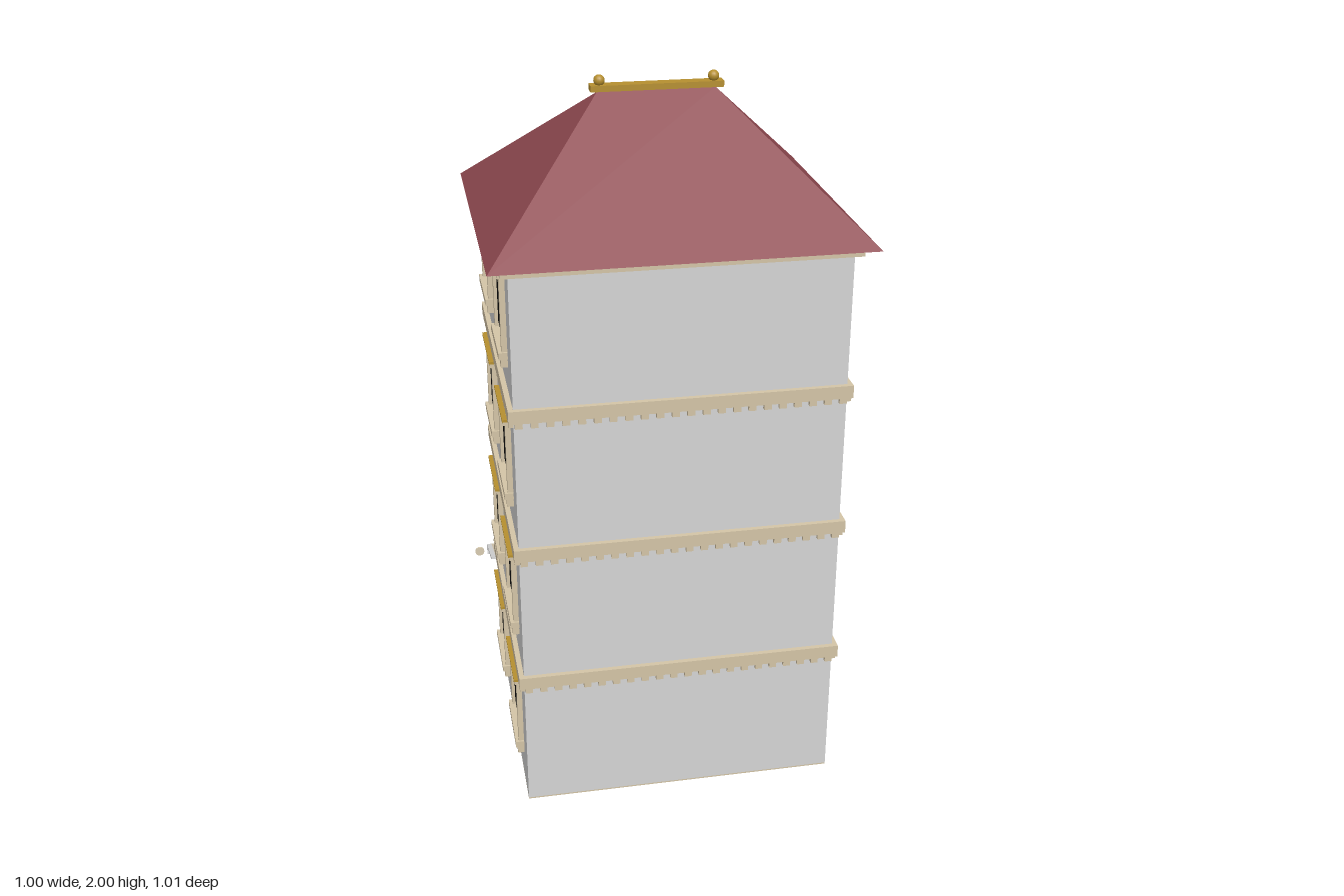
import * as THREE from 'three';
import { mergeGeometries } from 'three/addons/utils/BufferGeometryUtils.js';

const mat = (name, color, side = THREE.FrontSide) => {
  const m = new THREE.MeshStandardMaterial({ color, side });
  m.name = name;
  return m;
};

export function createModel() {
  const wall = mat('wall grey', 0xd4d4d4);
  const stone = mat('stone trim', 0xd3c4a6);
  const roofRed = mat('roof red', 0x8c474e);
  const gold = mat('gold', 0xb58f30);
  const glass = mat('dark glass', 0x0e0e0e);
  const shutterRed = mat('shutter red', 0x5c2230);
  const brown = mat('wood brown', 0x4a2d1c);
  const white = mat('awning white', 0xdcdcdc, THREE.DoubleSide);
  const cream = mat('awning cream', 0xd9ccb2, THREE.DoubleSide);

  const model = new THREE.Group();
  const CX = 0.003, CZ = 0.07, W = 0.885, D = 0.76, H = 1.62, PITCH = 0.408;

  // Box from min and max corners
  const block = (x0, x1, y0, y1, z0, z1) => {
    const g = new THREE.BoxGeometry(x1 - x0, y1 - y0, z1 - z0);
    return g.translate((x0 + x1) / 2, (y0 + y1) / 2, (z0 + z1) / 2);
  };
  const add = (parent, name, material, ...geos) => {
    const m = new THREE.Mesh(geos.length > 1 ? mergeGeometries(geos) : geos[0], material);
    m.name = name;
    parent.add(m);
    return m;
  };

  // Main body and ground slab
  add(model, 'walls', wall, block(CX - W / 2, CX + W / 2, 0.004, H, CZ - D / 2, CZ + D / 2));
  add(model, 'groundSlab', stone, block(CX - W / 2, CX + W / 2, 0, 0.004, CZ - D / 2, CZ + D / 2));

  // Floor bands with dentils on all four sides
  for (let f = 0; f < 3; f++) {
    const y = 0.39 + f * PITCH;
    const hx = W / 2 + 0.014, hz = D / 2 + 0.014;
    add(model, 'floorBand', stone,
      block(CX - hx, CX + hx, y, y + 0.036, CZ - hz, CZ + hz));
    const teeth = [];
    for (let i = 0; i < 22; i++) {
      const x = CX - 0.43 + (i * 0.86) / 21;
      for (const s of [-1, 1]) {
        const z = CZ + s * (D / 2 + 0.004);
        teeth.push(block(x - 0.01, x + 0.01, y - 0.015, y, z - 0.008, z + 0.008));
      }
    }
    for (let i = 0; i < 19; i++) {
      const z = CZ - 0.37 + (i * 0.74) / 18;
      for (const s of [-1, 1]) {
        const x = CX + s * (W / 2 + 0.004);
        teeth.push(block(x - 0.008, x + 0.008, y - 0.015, y, z - 0.01, z + 0.01));
      }
    }
    add(model, 'dentils', stone, ...teeth);
  }
  add(model, 'cornice', stone, block(CX - 0.463, CX + 0.463, 1.603, 1.627, CZ - 0.4, CZ + 0.4));

  // Hipped roof with a stone soffit
  const w = 0.497, d = 0.437, r = 0.158, e = 1.627, t = 1.955;
  const a = [-w, e, d], b = [w, e, d], c = [w, e, -d], k = [-w, e, -d], p = [-r, t, 0], q = [r, t, 0];
  const faces = [a, b, q, a, q, p, b, c, q, c, k, p, c, p, q, k, a, p, a, k, c, a, c, b];
  const roofGeo = new THREE.BufferGeometry();
  roofGeo.setAttribute('position', new THREE.Float32BufferAttribute(faces.flat(), 3));
  roofGeo.computeVertexNormals();
  roofGeo.addGroup(0, 18, 0);
  roofGeo.addGroup(18, 6, 1);
  add(model, 'roof', [roofRed, stone], roofGeo.translate(CX, 0, CZ));

  // Ridge beam and knobs
  add(model, 'ridgeBeam', gold, block(CX - 0.177, CX + 0.177, 1.958, 1.974, CZ - 0.018, CZ + 0.018));
  for (const s of [-1, 1])
    add(model, 'ridgeKnob', gold, new THREE.SphereGeometry(0.015, 16, 12).translate(CX + s * 0.152, 1.985, CZ));

  // Framed window facing +z, with its origin at floor level on the wall
  function windowUnit(o) {
    const g = new THREE.Group();
    g.name = 'window';
    const { hw, y0, y1 } = o;
    add(g, 'pane', glass, block(-hw, hw, y0, y1, 0, 0.006));
    const f = hw + 0.018;
    add(g, 'windowFrame', stone,
      block(-f, -hw, y0 - 0.015, y1 + 0.035, 0, 0.015),
      block(hw, f, y0 - 0.015, y1 + 0.035, 0, 0.015),
      block(-hw, hw, y1, y1 + 0.035, 0, 0.012),
      block(-f - 0.012, f + 0.012, y1 + 0.034, y1 + 0.045, 0, 0.02));
    add(g, 'goldLintel', gold, block(-f - 0.014, f + 0.014, y1 + 0.045, y1 + 0.052, 0, 0.023));
    const teeth = [];
    for (let i = 0; i < 8; i++) {
      const x = -hw + ((i + 0.5) * 2 * hw) / 8;
      teeth.push(block(x - 0.005, x + 0.005, y1 - 0.009, y1, 0.004, 0.009));
    }
    add(g, 'frameTeeth', stone, ...teeth);
    if (o.sill) add(g, 'sill', stone,
      block(-f - 0.006, f + 0.006, y0 - 0.034, y0 - 0.015, 0, 0.024),
      block(-f, -f + 0.02, y0 - 0.058, y0 - 0.034, 0, 0.018),
      block(f - 0.02, f, y0 - 0.058, y0 - 0.034, 0, 0.018));
    if (o.planter) add(g, 'planter', brown, block(-f, f, y0 - 0.06, y0 - 0.022, 0, 0.027));
    if (o.shutters) for (const s of [-1, 1]) {
      const x = s * (f + 0.016);
      add(g, 'shutter', shutterRed, block(x - 0.015, x + 0.015, y0 - 0.01, y1 + 0.02, 0, 0.012));
      const slats = [];
      for (let i = 0; i < 9; i++) {
        const y = y0 + 0.005 + (i * (y1 - y0)) / 9;
        slats.push(block(x - 0.011, x + 0.011, y, y + 0.01, 0.01, 0.016));
      }
      add(g, 'shutterSlats', shutterRed, ...slats);
    }
    return g;
  }

  // Side windows, two per floor on each side
  for (const s of [-1, 1])
    for (let f = 0; f < 4; f++)
      for (const z of [0.26, -0.125]) {
        const u = windowUnit({ hw: 0.081, y0: 0.155, y1: 0.31, sill: true });
        u.position.set(CX + (s * W) / 2, f * PITCH, z);
        u.rotation.y = (s * Math.PI) / 2;
        model.add(u);
      }

  // Street facade, built facing +z and turned round
  const facade = new THREE.Group();
  facade.name = 'streetFacade';
  facade.position.set(CX, 0, CZ - D / 2);
  facade.rotation.y = Math.PI;
  model.add(facade);
  for (let f = 1; f < 4; f++)
    for (const x of [-0.26, 0, 0.26]) {
      const door = f === 1 && x === 0;
      const u = windowUnit({ hw: 0.084, y0: door ? 0.03 : 0.112, y1: 0.315, sill: false, planter: !door, shutters: !door });
      u.position.set(x, f * PITCH, 0);
      facade.add(u);
    }

  // Ground floor shopfront; local +x is the model's right
  for (const s of [-1, 1])
    add(facade, 'cornerPier', stone, block(s * 0.388 - 0.056, s * 0.388 + 0.056, 0, 0.375, -0.035, 0.012));
  add(facade, 'pier', stone, block(-0.125, -0.1, 0, 0.375, 0, 0.01), block(0.09, 0.11, 0, 0.375, 0, 0.01));
  add(facade, 'shopWindow', glass, block(-0.315, -0.13, 0.06, 0.33, 0, 0.007), block(0.11, 0.32, 0.06, 0.33, 0, 0.007));
  add(facade, 'shopSill', white, block(-0.325, -0.12, 0.035, 0.06, 0, 0.025), block(0.11, 0.325, 0.035, 0.06, 0, 0.025));
  add(facade, 'shopMullions', gold, ...[0.115, 0.18, 0.25, 0.315].map((x) => block(x - 0.005, x + 0.005, 0.06, 0.33, 0, 0.014)));
  add(facade, 'shopLintel', gold, block(-0.325, -0.12, 0.355, 0.37, 0, 0.022), block(0.11, 0.325, 0.355, 0.37, 0, 0.022));
  add(facade, 'door', brown, block(-0.1, 0.09, 0.004, 0.33, 0, 0.014));
  add(facade, 'doorPanels', brown,
    block(-0.075, -0.015, 0.04, 0.14, 0, 0.019), block(0.005, 0.065, 0.04, 0.14, 0, 0.019),
    block(-0.075, -0.015, 0.17, 0.3, 0, 0.019), block(0.005, 0.065, 0.17, 0.3, 0, 0.019));
  add(facade, 'doorTrim', gold, block(-0.1, -0.093, 0.004, 0.33, 0, 0.018), block(0.083, 0.09, 0.004, 0.33, 0, 0.018),
    block(-0.1, 0.09, 0.325, 0.335, 0, 0.018));
  add(facade, 'doorKnob', gold, new THREE.SphereGeometry(0.007, 10, 8).translate(-0.005, 0.155, 0.022));
  add(facade, 'doorStep', brown, block(-0.1, 0.09, 0, 0.025, 0, 0.022));

  // Striped sloping awning with a short valance
  const strip = (x0, x1, material) => {
    const s = new THREE.Shape();
    [[-0.31, 0.358], [-0.31, 0.366], [-0.503, 0.304], [-0.503, 0.268], [-0.498, 0.268], [-0.498, 0.299]]
      .forEach(([z, y], i) => (i ? s.lineTo(-z, y) : s.moveTo(-z, y)));
    const g = new THREE.ExtrudeGeometry(s, { depth: x1 - x0, bevelEnabled: false });
    add(model, 'awningStripe', material, g.rotateY(Math.PI / 2).translate(x0, 0, 0));
  };
  let edge = -0.465;
  for (let i = 0; i < 5; i++) {
    const x = -0.45 + i * 0.178;
    strip(edge, x, white);
    strip(x, x + 0.07, cream);
    edge = x + 0.07;
  }
  strip(edge, 0.345, white);

  // Round tabs hanging along the awning edge
  for (let i = 0; i <= 16; i++)
    add(model, 'awningTab', cream, new THREE.CylinderGeometry(0.015, 0.015, 0.006, 16)
      .rotateX(Math.PI / 2).translate(-0.49 + i * 0.051, 0.28, -0.501));

  // Balcony
  add(model, 'balconyFloor', stone, block(-0.157, 0.163, 0.41, 0.425, -0.46, -0.31));
  for (const x of [-0.15, 0.156])
    add(model, 'balconySide', gold, block(x - 0.004, x + 0.004, 0.425, 0.55, -0.505, -0.31));
  add(model, 'balconyRail', gold,
    block(-0.16, 0.166, 0.54, 0.552, -0.459, -0.447),
    block(-0.16, 0.166, 0.432, 0.442, -0.457, -0.449),
    ...[-0.15, -0.073, 0.003, 0.08, 0.156].map((x) => block(x - 0.005, x + 0.005, 0.425, 0.556, -0.458, -0.448)));

  return model;
}
